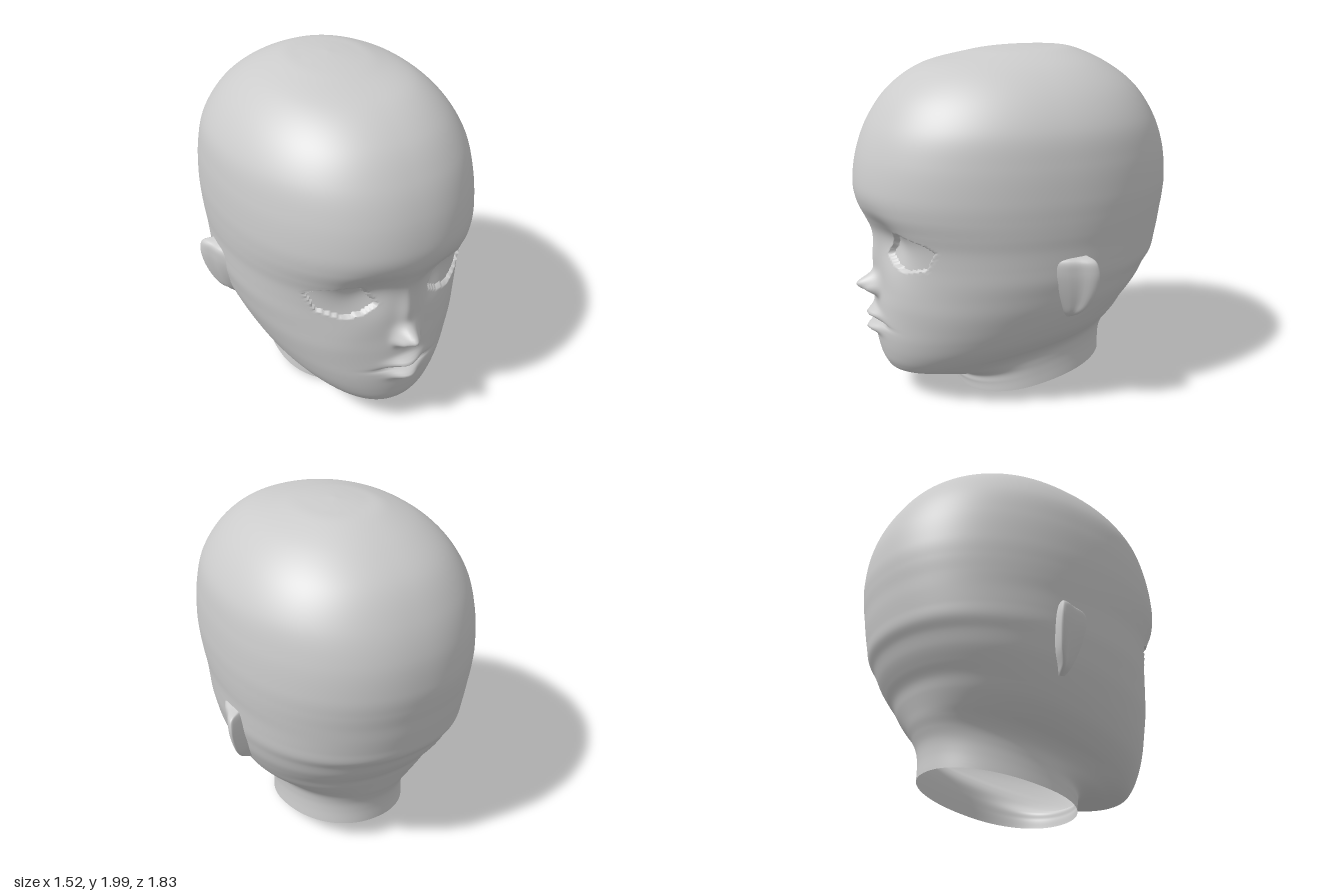
import * as THREE from 'three';

const { exp, sin, cos, abs, sign, pow, PI, hypot } = Math;
const V = (x, y, z) => new THREE.Vector3(x, y, z);
const skinMaterial = new THREE.MeshStandardMaterial({ color: 0xcccccc, side: THREE.DoubleSide });

// Head rings from crown to neck: front y, front z, back y, back z, half width
const RINGS = [
  [2.0, -0.07, 2.0, -0.07, 0], [1.985, 0.1, 1.995, -0.24, 0.14],
  [1.96, 0.25, 1.98, -0.38, 0.26], [1.9, 0.49, 1.9, -0.56, 0.43],
  [1.78, 0.67, 1.78, -0.72, 0.57], [1.62, 0.79, 1.62, -0.83, 0.67],
  [1.45, 0.86, 1.45, -0.895, 0.705], [1.28, 0.89, 1.28, -0.918, 0.715],
  [1.17, 0.878, 1.17, -0.913, 0.712], [1.08, 0.84, 1.08, -0.9, 0.705],
  [1.0, 0.808, 1.0, -0.89, 0.695], [0.9, 0.79, 0.92, -0.875, 0.688],
  [0.8, 0.783, 0.85, -0.86, 0.68], [0.7, 0.785, 0.79, -0.82, 0.662],
  [0.6, 0.795, 0.72, -0.785, 0.64], [0.5, 0.8, 0.66, -0.745, 0.61],
  [0.4, 0.8, 0.6, -0.7, 0.575], [0.3, 0.785, 0.54, -0.675, 0.53],
  [0.22, 0.76, 0.48, -0.65, 0.47], [0.165, 0.71, 0.43, -0.63, 0.41],
  [0.135, 0.56, 0.38, -0.605, 0.375], [0.11, 0.36, 0.32, -0.58, 0.365],
  [0.06, 0.33, 0.25, -0.57, 0.365], [0.01, 0.32, 0.16, -0.57, 0.37],
];

// Bumps and hollows of the face: x, y, x spread, y spread, depth (mirrored when x > 0)
const FEATURES = [
  [0, 0.69, 0.055, 0.05, 0.115], [0, 0.83, 0.045, 0.12, 0.025],    // nose tip, bridge
  [0.055, 0.66, 0.028, 0.03, 0.035],                               // nostril wings
  [0, 0.51, 0.09, 0.026, 0.055], [0, 0.425, 0.08, 0.028, 0.055],   // lips
  [0, 0.47, 0.13, 0.011, -0.05],                                   // mouth crease
  [0.21, 0.99, 0.14, 0.13, -0.055], [0.34, 0.7, 0.15, 0.13, 0.012], // eye hollow, cheek
];

// Outline of the left eye opening
const EYE = [[0.147, 0.905], [0.21, 1.0], [0.255, 1.05], [0.33, 1.065], [0.465, 1.03],
  [0.5, 0.995], [0.45, 0.885], [0.32, 0.842], [0.23, 0.86]];

// Signed distance to the eye outline (negative inside) and the nearest outline point
function eyeDistance(x, y) {
  let best = Infinity, near = null, inside = false;
  EYE.forEach(([ax, ay], i) => {
    const [bx, by] = EYE[(i + 1) % EYE.length];
    const dx = bx - ax, dy = by - ay;
    const t = THREE.MathUtils.clamp(((x - ax) * dx + (y - ay) * dy) / (dx * dx + dy * dy), 0, 1);
    const px = ax + t * dx, py = ay + t * dy, d = hypot(x - px, y - py);
    if (d < best) { best = d; near = [px, py]; }
    if ((ay > y) !== (by > y) && x < ax + (y - ay) * dx / dy) inside = !inside;
  });
  return { d: inside ? -best : best, near };
}

function geometryFrom(positions, index) {
  const g = new THREE.BufferGeometry();
  g.setAttribute('position', new THREE.Float32BufferAttribute(positions, 3));
  g.setIndex(index);
  g.computeVertexNormals();
  return g;
}

function addMesh(group, name, geometry) {
  const mesh = new THREE.Mesh(geometry, skinMaterial);
  mesh.name = name;
  group.add(mesh);
}

function buildHead(group) {
  const rows = (RINGS.length - 1) * 9, cols = 240, middle = -0.07, round = 2 / 2.15;
  const front = new THREE.CatmullRomCurve3(RINGS.map(r => V(r[4], r[0], r[1])), false, 'catmullrom');
  const back = new THREE.CatmullRomCurve3(RINGS.map(r => V(0, r[2], r[3])), false, 'catmullrom');
  const positions = [], eyeSide = [];
  for (let i = 0; i <= rows; i++) {
    const f = front.getPoint(i / rows), b = back.getPoint(i / rows);
    for (let j = 0; j < cols; j++) {
      // columns are packed closer on the face
      const p = j / cols * 2 * PI, a = p - 0.5 * sin(p);
      let x = f.x * sign(sin(a)) * pow(abs(sin(a)), round);
      const c = cos(a), reach = (c > 0 ? f.z : b.z) - middle;
      let z = middle + reach * pow(abs(c), round);
      const span = f.z - b.z;
      let y = span > 1e-5 ? f.y + (b.y - f.y) * (f.z - z) / span : f.y;
      let side = 0;
      if (z > 0.25) {
        const { d, near } = eyeDistance(abs(x), y);
        if (abs(d) < 0.006) { x = sign(x) * near[0]; y = near[1]; }
        else if (d < 0) side = sign(x);
        let push = 0;
        for (const [fx, fy, sx, sy, h] of FEATURES) {
          push += h * exp(-pow((abs(x) - fx) / sx, 2) - pow((y - fy) / sy, 2));
        }
        z += push * THREE.MathUtils.smoothstep(z, 0.25, 0.5) - (side ? 0.025 : 0);
      }
      positions.push(x, y, z);
      eyeSide.push(side);
    }
  }
  // Sort the faces into skin and the two sunken eyes
  const skin = [], left = [], right = [];
  for (let i = 0; i < rows; i++) {
    for (let j = 0; j < cols; j++) {
      const k = (j + 1) % cols;
      const a = i * cols + j, b = i * cols + k, c = a + cols, d = b + cols;
      const sum = eyeSide[a] + eyeSide[b] + eyeSide[c] + eyeSide[d];
      const list = sum === 4 ? left : sum === -4 ? right : skin;
      if (i > 0) list.push(a, c, b);
      list.push(b, c, d);
    }
  }
  // The crown point is shared so its shading stays smooth
  const shared = skin.map(v => (v < cols ? 0 : v));
  addMesh(group, 'headAndNeck', geometryFrom(positions, shared));
  addMesh(group, 'leftEye', geometryFrom(positions, left));
  addMesh(group, 'rightEye', geometryFrom(positions, right));
}

// Ear sections from top to lobe: y, front z, back z, outer x, x at the head
const EAR = [
  [0.96, -0.04, -0.2, 0.685, 0.68], [0.938, 0, -0.235, 0.745, 0.685],
  [0.88, 0.01, -0.252, 0.757, 0.682], [0.8, -0.01, -0.25, 0.748, 0.672],
  [0.7, -0.05, -0.225, 0.716, 0.65], [0.63, -0.09, -0.185, 0.672, 0.63],
  [0.59, -0.12, -0.16, 0.61, 0.61],
];

function buildEar(side) {
  const across = 18, down = 30;
  const sections = EAR.map(([y, zf, zb, xo, xi]) => {
    const at = (x, t) => V(x, y, zf + (zb - zf) * t);
    return new THREE.CatmullRomCurve3([
      at(xi - 0.02, 0), at(xi + (xo - xi) * 0.35, 0.35), at(xi + (xo - xi) * 0.6, 0.62),
      at(xo - 0.003, 0.84), at(xo - 0.002, 0.99), at(xo - 0.03, 0.97), at(xi - 0.08, 0.8),
    ]).getPoints(across);
  });
  const columns = sections[0].map((_, j) =>
    new THREE.CatmullRomCurve3(sections.map(s => s[j])).getPoints(down));
  const positions = [], index = [], n = across + 1;
  for (let i = 0; i <= down; i++) {
    for (let j = 0; j < n; j++) {
      const p = columns[j][i];
      positions.push(side * p.x, p.y, p.z);
      if (i === down || j === across) continue;
      const a = i * n + j, b = a + 1, c = a + n, d = c + 1;
      if (side > 0) index.push(a, c, b, b, c, d);
      else index.push(a, b, c, b, d, c);
    }
  }
  return geometryFrom(positions, index);
}

export function createModel() {
  const model = new THREE.Group();
  model.name = 'dollHead';
  buildHead(model);
  addMesh(model, 'leftEar', buildEar(1));
  addMesh(model, 'rightEar', buildEar(-1));
  return model;
}
